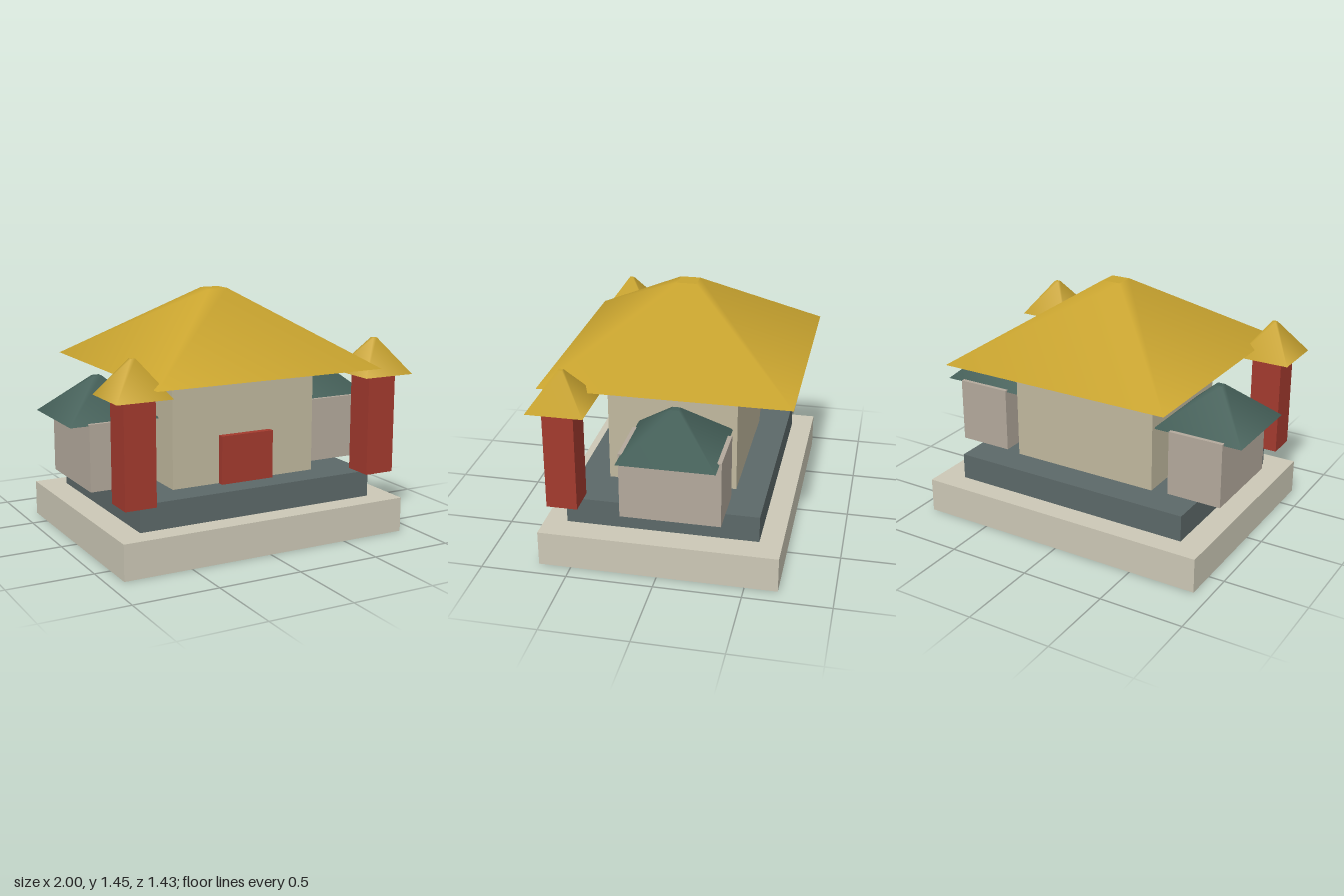
import * as THREE from 'three';

const mat = (color) => new THREE.MeshStandardMaterial({ color });

export function createModel() {
  const model = new THREE.Group();
  const stone = mat(0xccc8b6), slate = mat(0x5c6868), wall = mat(0xc0b89e);
  const wingWall = mat(0xb3a99c), red = mat(0xa33a2e), gold = mat(0xc9a42f), teal = mat(0x456059);

  // Block given by its extents on each axis
  const block = (name, [x0, x1], [y0, y1], [z0, z1], material) => {
    const mesh = new THREE.Mesh(new THREE.BoxGeometry(x1 - x0, y1 - y0, z1 - z0), material);
    mesh.position.set((x0 + x1) / 2, (y0 + y1) / 2, (z0 + z1) / 2);
    mesh.name = name;
    model.add(mesh);
  };

  // Square hipped roof with a small flat top; softly shaded around its ridges
  const roof = (name, x, z, [y0, y1], half, topHalf, material) => {
    const h = y1 - y0;
    const geo = new THREE.CylinderGeometry(topHalf * Math.SQRT2, half * Math.SQRT2, h, 4);
    geo.rotateY(Math.PI / 4);
    const mesh = new THREE.Mesh(geo, material);
    mesh.position.set(x, y0 + h / 2, z);
    mesh.name = name;
    model.add(mesh);
  };

  // Stepped base
  block('lowerBase', [-0.906, 0.906], [0, 0.208], [-0.688, 0.688], stone);
  block('upperBase', [-0.751, 0.751], [0.208, 0.365], [-0.557, 0.557], slate);

  // Main hall
  block('hall', [-0.463, 0.463], [0.365, 1.016], [-0.376, 0.376], wall);
  block('door', [-0.168, 0.168], [0.365, 0.65], [0.37, 0.416], red);
  roof('hallRoof', 0, 0, [1.014, 1.452], 0.714, 0.057, gold);

  // Side wings and front towers, mirrored
  for (const [side, s] of [['left', 1], ['right', -1]]) {
    const span = (a, b) => (s > 0 ? [a, b] : [-b, -a]);
    block(side + 'Wing', span(0.56, 0.892), [0.365, 0.755], [-0.363, 0.207], wingWall);
    roof(side + 'WingRoof', s * 0.727, -0.077, [0.744, 0.974], 0.273, 0.022, teal);
    block(side + 'Tower', span(0.686, 0.871), [0.365, 0.966], [0.457, 0.635], red);
    roof(side + 'TowerRoof', s * 0.777, 0.544, [0.963, 1.17], 0.163, 0.013, gold);
  }
  return model;
}
